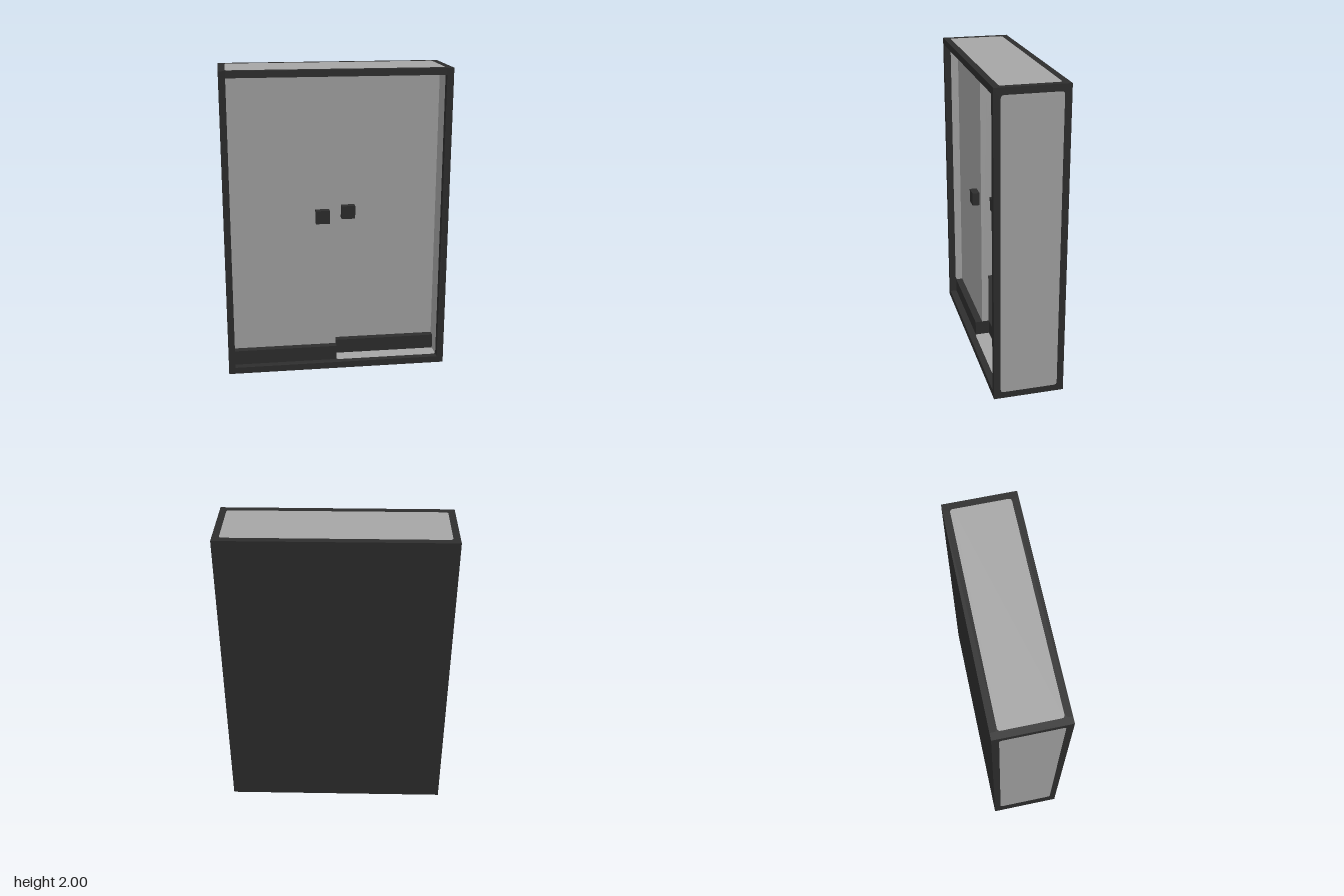
import * as THREE from 'three';

const dark = new THREE.MeshStandardMaterial({ color: 0x2e2e2e });
dark.name = 'dark frame';
const light = new THREE.MeshStandardMaterial({ color: 0xa6a6a6 });
light.name = 'light panel';

const X = 0.727, Z = 0.227, H = 2, T = 0.043; // half width, half depth, height, board thickness

// Box given by its limits on each axis
function box(name, material, [x0, x1], [y0, y1], [z0, z1]) {
  const geometry = new THREE.BoxGeometry(x1 - x0, y1 - y0, z1 - z0);
  geometry.translate((x0 + x1) / 2, (y0 + y1) / 2, (z0 + z1) / 2);
  const mesh = new THREE.Mesh(geometry, material);
  mesh.name = name;
  return mesh;
}

// Rectangle outline with rounded corners
function rounded(Type, x0, y0, x1, y1, r) {
  const s = new Type();
  s.moveTo(x0 + r, y0);
  s.lineTo(x1 - r, y0).quadraticCurveTo(x1, y0, x1, y0 + r);
  s.lineTo(x1, y1 - r).quadraticCurveTo(x1, y1, x1 - r, y1);
  s.lineTo(x0 + r, y1).quadraticCurveTo(x0, y1, x0, y1 - r);
  s.lineTo(x0, y0 + r).quadraticCurveTo(x0, y0, x0 + r, y0);
  return s;
}

// Dark board with a light rounded inlay that goes right through it
function inlaidBoard(name, outer, inner) {
  const [x0, y0, x1, y1] = outer;
  const board = new THREE.Shape([[x0, y0], [x1, y0], [x1, y1], [x0, y1]].map(p => new THREE.Vector2(...p)));
  board.holes.push(rounded(THREE.Path, ...inner, 0.02));
  const options = { depth: T, bevelEnabled: false, curveSegments: 4 };
  const group = new THREE.Group();
  group.name = name;
  const frame = new THREE.Mesh(new THREE.ExtrudeGeometry(board, options), dark);
  frame.name = name + 'Frame';
  const inlay = new THREE.Mesh(new THREE.ExtrudeGeometry(rounded(THREE.Shape, ...inner, 0.02), options), light);
  inlay.name = name + 'Inlay';
  group.add(frame, inlay);
  return group;
}

export function createModel() {
  const model = new THREE.Group();
  model.name = 'slidingDoorCabinet';
  const xi = X - T, zi = Z - T, top = H - T, plinth = 0.14;

  // Side walls; the right one is covered by the plinth at its foot
  const leftWall = inlaidBoard('leftWall', [-Z, 0, Z, H], [-zi, T, zi, top]);
  leftWall.rotation.y = Math.PI / 2;
  leftWall.position.x = xi;
  const rightWall = inlaidBoard('rightWall', [-Z, 0, Z, H], [-zi, plinth, zi, top]);
  rightWall.rotation.y = Math.PI / 2;
  rightWall.position.x = -X;

  // Top and floor; the floor inlay shows on the left half only
  const topBoard = inlaidBoard('top', [-X, -Z, X, Z], [-xi, -zi, xi, zi]);
  topBoard.rotation.x = -Math.PI / 2;
  topBoard.position.y = top;
  const floor = inlaidBoard('floor', [-X, -Z, X, Z], [0, -zi, xi, zi]);
  floor.rotation.x = -Math.PI / 2;
  model.add(leftWall, rightWall, topBoard, floor);

  model.add(box('back', dark, [-X, X], [0, H], [-Z, -zi]));

  // Two staggered sliding doors, each with a plinth and a square knob
  const sides = [
    { name: 'right', front: 0.18, door: [-xi, -0.003], base: [-X, 0], foot: 0, knob: [-0.135, -0.045] },
    { name: 'left', front: 0.085, door: [-0.05, xi], base: [0, xi], foot: T, knob: [0.045, 0.135] },
  ];
  for (const s of sides) {
    const face = s.front - 0.047;
    model.add(
      box(s.name + 'Plinth', dark, s.base, [s.foot, plinth], [-zi, s.front]),
      box(s.name + 'Door', light, s.door, [plinth, top], [face - 0.046, face]),
      box(s.name + 'Knob', dark, s.knob, [1.005, 1.092], [face, s.front]),
    );
  }
  return model;
}
